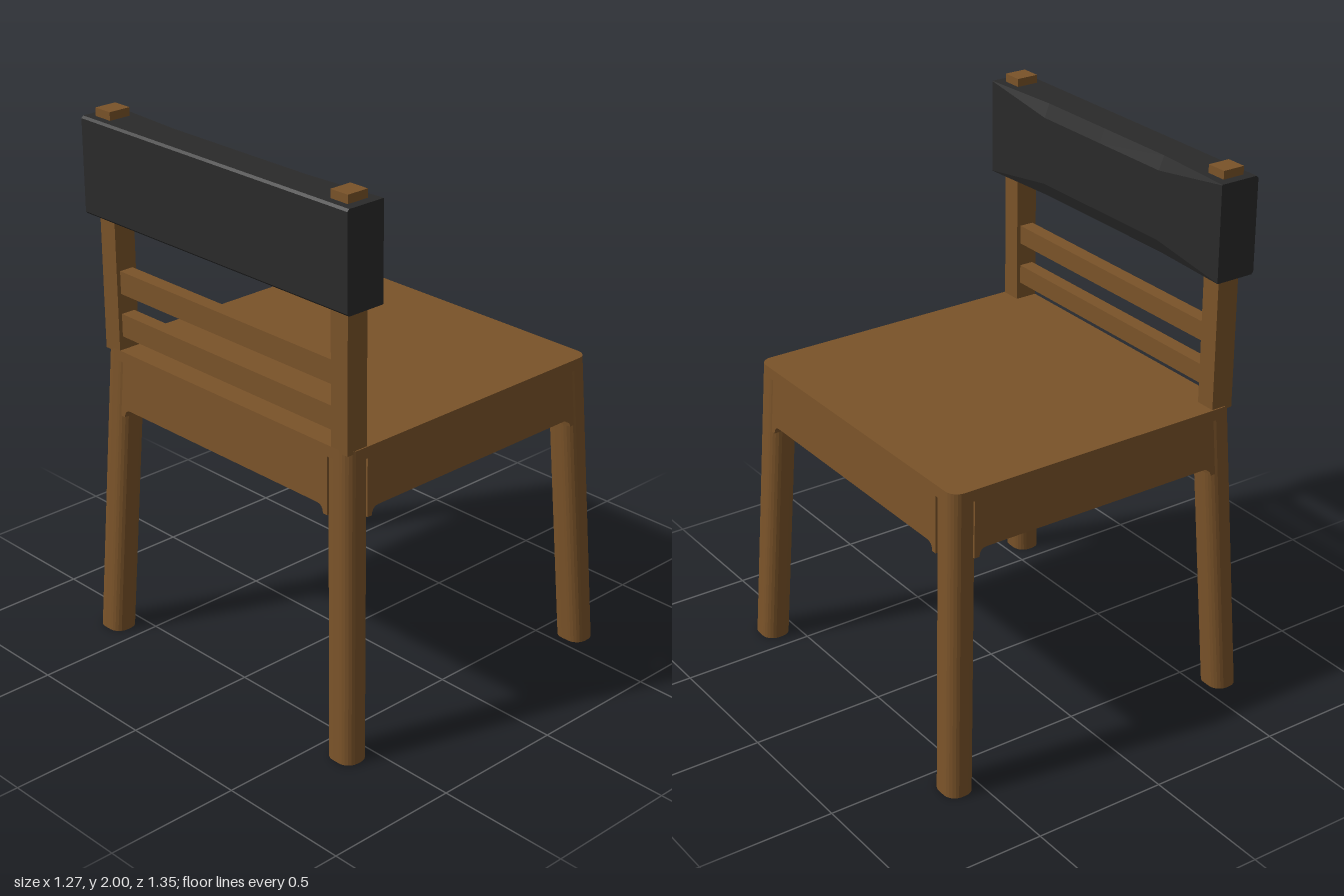
import * as THREE from 'three';

const wood = new THREE.MeshStandardMaterial({ color: 0x7a5329, flatShading: true });
const black = new THREE.MeshStandardMaterial({ color: 0x2a2a2a, flatShading: true });

const TOP = 1.13;    // seat height
const SPLAY = 0.049; // outward lean per unit of drop
const HX = 0.58, HZ = 0.62, R = 0.045;

// Lean a geometry outwards below the seat top
function splay(geo) {
  const p = geo.attributes.position;
  for (let i = 0; i < p.count; i++) {
    const d = SPLAY * (TOP - p.getY(i));
    p.setX(i, p.getX(i) + Math.sign(p.getX(i)) * d);
    p.setZ(i, p.getZ(i) + Math.sign(p.getZ(i)) * d);
  }
  geo.computeVertexNormals();
  return geo;
}

// Upright prism with rounded corners, centred on (cx, cz), from y0 to y1
function roundedPrism(cx, cz, hx, hz, r, y0, y1) {
  const s = new THREE.Shape();
  s.absarc(hx - r, hz - r, r, 0, Math.PI / 2);
  s.absarc(-hx + r, hz - r, r, Math.PI / 2, Math.PI);
  s.absarc(-hx + r, -hz + r, r, Math.PI, Math.PI * 1.5);
  s.absarc(hx - r, -hz + r, r, Math.PI * 1.5, Math.PI * 2);
  const geo = new THREE.ExtrudeGeometry(s, { depth: y1 - y0, bevelEnabled: false, curveSegments: 3 });
  return geo.rotateX(-Math.PI / 2).translate(cx, y0, cz);
}

// Apron rail with small fillets where it meets the legs; inner = leg's inner face
function railGeometry(inner, thickness) {
  const end = inner + 0.02, y = 0.915, f = 0.03;
  const s = new THREE.Shape();
  s.moveTo(end, y - f);
  s.lineTo(end, 1.1);
  s.lineTo(-end, 1.1);
  s.lineTo(-end, y - f);
  s.lineTo(-inner, y - f);
  s.quadraticCurveTo(-inner, y, -inner + f, y);
  s.lineTo(inner - f, y);
  s.quadraticCurveTo(inner, y, inner, y - f);
  return new THREE.ExtrudeGeometry(s, { depth: thickness, bevelEnabled: false, curveSegments: 4 });
}

// Backrest: a block whose front edges are bevelled away towards the middle
function backrestGeometry() {
  const x0 = -0.615, x1 = -0.46, y0 = 1.62, y1 = 1.97, b = 0.02, h = 0.05, half = 0.65;
  const s = new THREE.Shape([
    [x0 + 0.008, y0], [x1 - b, y0], [x1, y0 + h], [x1, y1 - h],
    [x1 - b, y1], [x0 + 0.008, y1], [x0, y1 - 0.008], [x0, y0 + 0.008],
  ].map(([x, y]) => new THREE.Vector2(x, y)));
  const geo = new THREE.ExtrudeGeometry(s, { depth: 2 * half, steps: 4, bevelEnabled: false });
  geo.translate(0, 0, -half);
  const p = geo.attributes.position;
  for (let i = 0; i < p.count; i++) {
    const x = p.getX(i), y = p.getY(i);
    if (x < -0.5) continue;
    const k = THREE.MathUtils.clamp((half - Math.abs(p.getZ(i))) / 0.325, 0.03, 1);
    p.setX(i, x1 - (x1 - x) * k);
    p.setY(i, y > 1.8 ? y1 - (y1 - y) * k : y0 + (y - y0) * k);
  }
  geo.computeVertexNormals();
  return geo;
}

export function createModel() {
  const group = new THREE.Group();
  const add = (name, geo, mat = wood) => {
    const mesh = new THREE.Mesh(geo, mat);
    mesh.name = name;
    group.add(mesh);
    return mesh;
  };

  // Seat panel
  add('seat', splay(roundedPrism(0, 0, HX, HZ, R, 1.09, TOP)));

  // Legs
  for (const sx of [-1, 1]) for (const sz of [-1, 1]) {
    add('leg', splay(roundedPrism(sx * 0.5275, sz * 0.56, 0.0525, 0.06, R, 0, 1.1)));
  }

  // Apron rails, flush with the outside of the legs
  const t = 0.05;
  for (const s of [-1, 1]) {
    add('sideRail', splay(railGeometry(0.475, t).translate(0, 0, s > 0 ? HZ - t : -HZ)));
    add('endRail', splay(railGeometry(0.5, t).rotateY(Math.PI / 2).translate(s > 0 ? HX - t : -HX, 0, 0)));
  }

  // Back posts
  for (const s of [-1, 1]) {
    add('backPost', new THREE.BoxGeometry(0.085, 0.88, 0.077).translate(-0.5375, 1.56, s * 0.577));
  }

  // Slats with a chamfered lower front edge
  for (const y of [1.18, 1.34]) {
    const s = new THREE.Shape([[-0.565, 0], [-0.53, 0], [-0.51, 0.014], [-0.51, 0.085], [-0.565, 0.085]]
      .map(([x, dy]) => new THREE.Vector2(x, y + dy)));
    add('slat', new THREE.ExtrudeGeometry(s, { depth: 1.1, bevelEnabled: false }).translate(0, 0, -0.55));
  }

  add('backrest', backrestGeometry(), black);
  return group;
}
